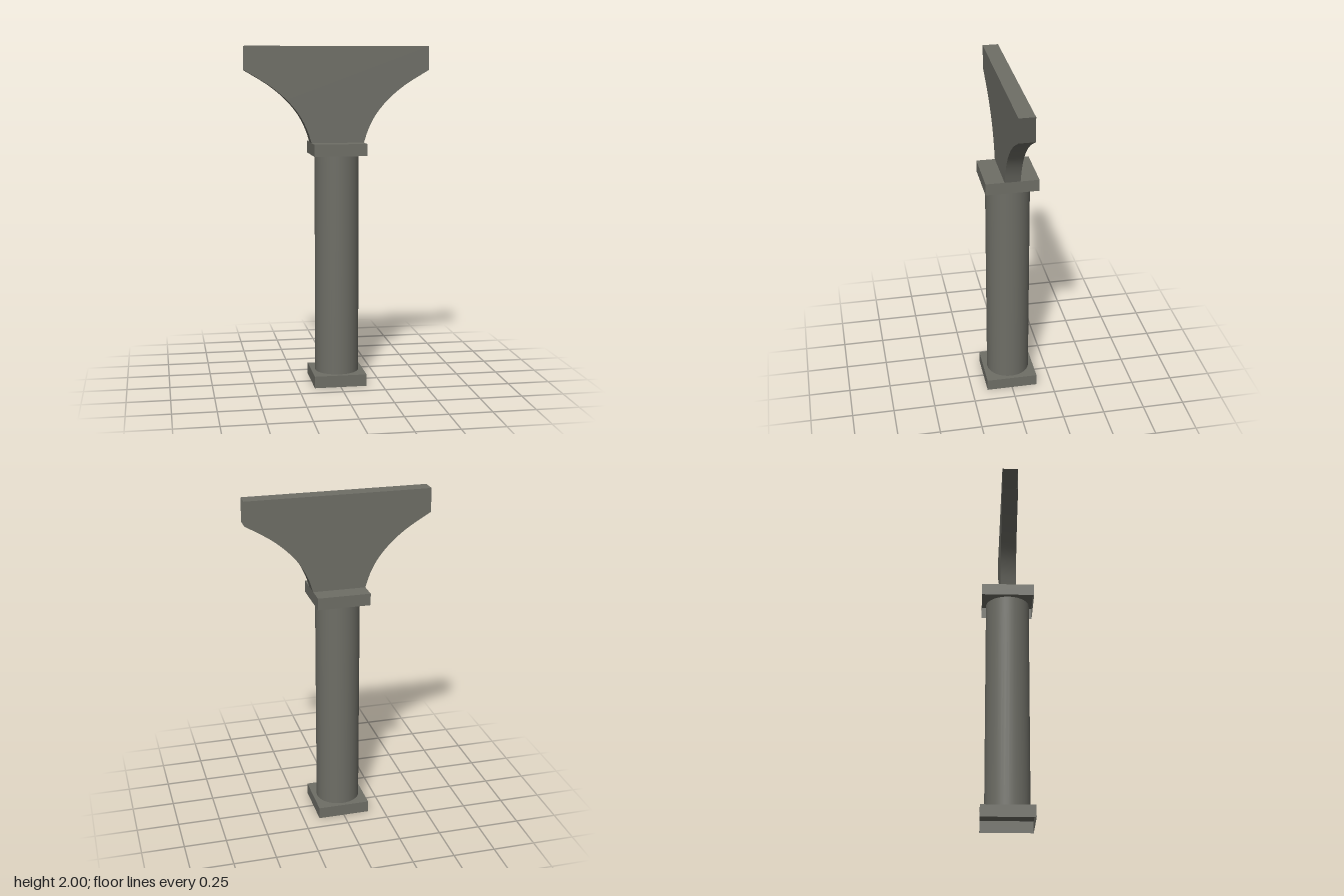
import * as THREE from 'three';

const stone = new THREE.MeshStandardMaterial({ color: 0x6e6e66, side: THREE.DoubleSide });
stone.name = 'grey stone';

const BLOCK = 0.31, BLOCK_H = 0.07;   // square base and capital
const CAP_TOP = 1.44, HALF_DEPTH = 0.046;

function add(parent, name, geometry) {
  const mesh = new THREE.Mesh(geometry, stone);
  mesh.name = name;
  parent.add(mesh);
  return mesh;
}

// Square block, hollow and open underneath
function openBlock() {
  const box = new THREE.BoxGeometry(BLOCK, BLOCK_H, BLOCK);
  const index = Array.from(box.index.array);
  index.splice(18, 6);
  box.setIndex(index);
  box.clearGroups();
  return box;
}

// Ribbon that follows a run of outline points across the bracket's depth
function ribbon(points) {
  const positions = [], index = [];
  points.forEach((p, i) => {
    positions.push(p.x, p.y, HALF_DEPTH, p.x, p.y, -HALF_DEPTH);
    if (i < points.length - 1) {
      const a = 2 * i;
      index.push(a, a + 1, a + 2, a + 1, a + 3, a + 2);
    }
  });
  const geometry = new THREE.BufferGeometry();
  geometry.setAttribute('position', new THREE.Float32BufferAttribute(positions, 3));
  geometry.setIndex(index);
  geometry.computeVertexNormals();
  return geometry;
}

export function createModel() {
  const model = new THREE.Group();
  model.name = 'bracketColumn';

  // Column
  add(model, 'base', openBlock()).position.y = BLOCK_H / 2;
  const shaftHeight = CAP_TOP - 2 * BLOCK_H;
  add(model, 'shaft', new THREE.CylinderGeometry(0.13, 0.13, shaftHeight, 40, 1, true))
    .position.y = BLOCK_H + shaftHeight / 2;
  add(model, 'capital', openBlock()).position.y = CAP_TOP - BLOCK_H / 2;

  // Flared bracket: hollow, with open ends
  const bracket = new THREE.Group();
  bracket.name = 'bracket';
  model.add(bracket);

  const flare = new THREE.SplineCurve([
    [0.155, CAP_TOP], [0.182, 1.52], [0.227, 1.605], [0.3, 1.692], [0.4, 1.775], [0.54, 1.86],
  ].map(([x, y]) => new THREE.Vector2(x, y))).getPoints(15);
  const mirrored = flare.map(p => new THREE.Vector2(-p.x, p.y)).reverse();
  const top = [new THREE.Vector2(0.54, 2), new THREE.Vector2(-0.54, 2)];

  const plate = new THREE.ShapeGeometry(new THREE.Shape([...flare, ...top, ...mirrored]));
  add(bracket, 'frontPlate', plate).position.z = HALF_DEPTH;
  const back = add(bracket, 'backPlate', plate);
  back.position.z = -HALF_DEPTH;
  back.rotation.y = Math.PI;

  add(bracket, 'topPlate', ribbon(top));
  add(bracket, 'leftUnderside', ribbon(flare));
  add(bracket, 'rightUnderside', ribbon(mirrored));

  return model;
}
